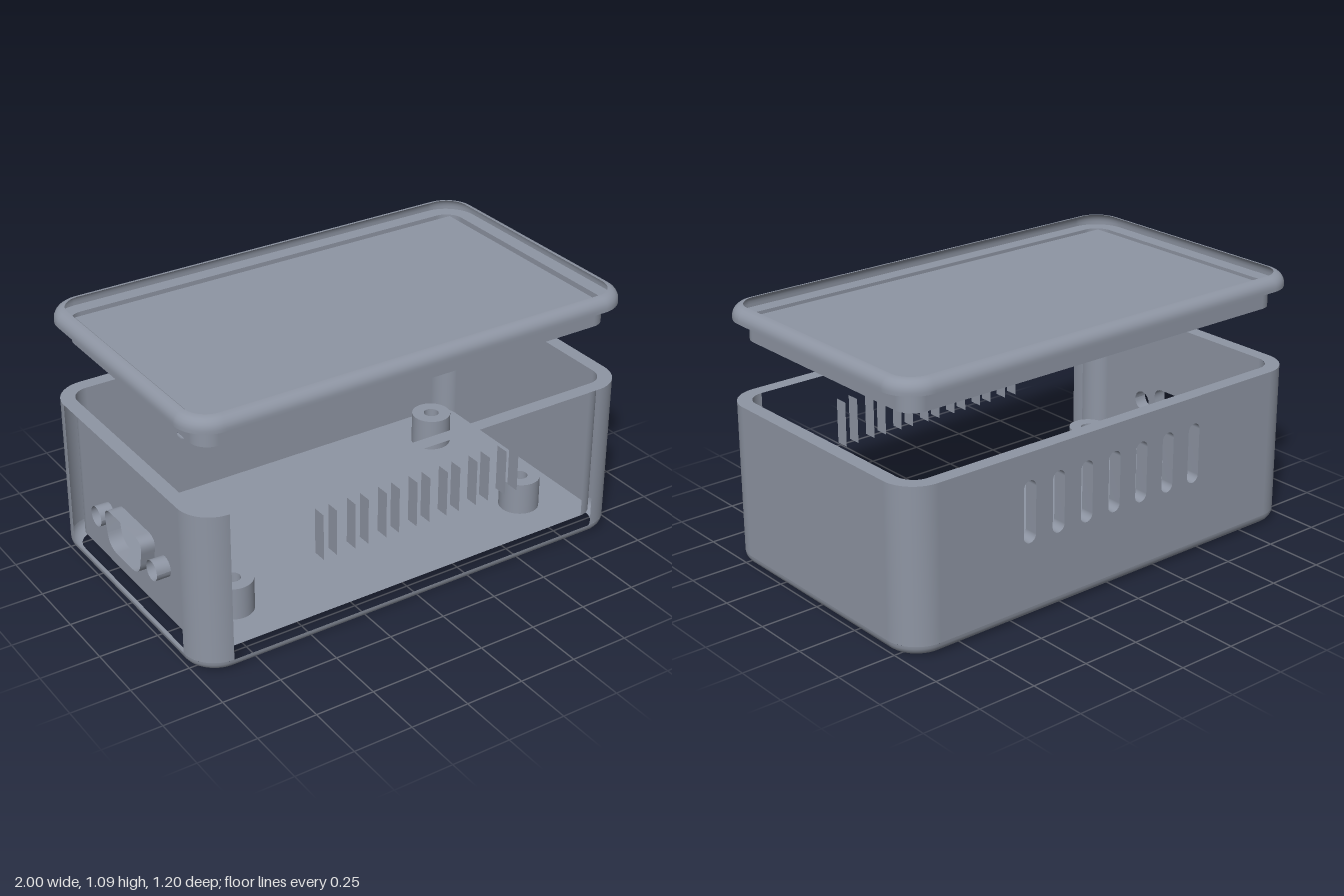
import * as THREE from 'three';

const shell = new THREE.MeshStandardMaterial({ color: 0x8e95a3, side: THREE.DoubleSide });
shell.name = 'slate grey';

// Rounded rectangle, circle, upright slot and connector outlines
function roundedRect(hx, hy, r) {
  const s = new THREE.Shape();
  s.absarc(hx - r, hy - r, r, 0, Math.PI / 2);
  s.absarc(-hx + r, hy - r, r, Math.PI / 2, Math.PI);
  s.absarc(-hx + r, -hy + r, r, Math.PI, Math.PI * 1.5);
  s.absarc(hx - r, -hy + r, r, Math.PI * 1.5, Math.PI * 2);
  s.closePath();
  return s;
}
function rect(x0, y0, x1, y1) {
  return new THREE.Shape([[x0, y0], [x1, y0], [x1, y1], [x0, y1], [x0, y0]].map(p => new THREE.Vector2(...p)));
}
function circle(x, y, r) {
  return new THREE.Path().absarc(x, y, r, 0, Math.PI * 2);
}
function slot(x, y0, y1, r) {
  const p = new THREE.Path();
  p.absarc(x, y1 - r, r, 0, Math.PI);
  p.absarc(x, y0 + r, r, Math.PI, Math.PI * 2);
  p.closePath();
  return p;
}
function roundedPolygon(corners, r) {
  const v = corners.map(c => new THREE.Vector2(...c));
  const p = new THREE.Path();
  v.forEach((c, i) => {
    const toward = q => c.clone().add(q.clone().sub(c).setLength(r));
    const a = toward(v[(i + v.length - 1) % v.length]);
    const b = toward(v[(i + 1) % v.length]);
    if (i === 0) p.moveTo(a.x, a.y); else p.lineTo(a.x, a.y);
    p.quadraticCurveTo(c.x, c.y, b.x, b.y);
  });
  p.closePath();
  return p;
}

// Surface joining a series of rings of equal length
function loft(rings) {
  const n = rings[0].length, index = [];
  for (let k = 0; k < rings.length - 1; k++) {
    for (let i = 0; i < n - 1; i++) {
      const a = k * n + i, b = a + n;
      index.push(a, b, a + 1, a + 1, b, b + 1);
    }
  }
  const g = new THREE.BufferGeometry().setFromPoints(rings.flat());
  g.setIndex(index);
  g.computeVertexNormals();
  return g;
}
const level = (path, y) => path.getPoints(10).map(p => new THREE.Vector3(p.x, y, p.y));
const acrossZ = (path, z) => path.getPoints(10).map(p => new THREE.Vector3(p.x, p.y, z));
const acrossX = (path, x) => path.getPoints(10).map(p => new THREE.Vector3(x, p.y, p.x));

// Flat sheet with holes
function sheet(shape, holes = []) {
  shape.holes.push(...holes);
  return new THREE.ShapeGeometry(shape, 10);
}
const flat = (shape, y, holes) => sheet(shape, holes).rotateX(Math.PI / 2).translate(0, y, 0);

const H = 0.69, FLOOR = 0.06, FILLET = 0.045, R = 0.14;
const slotXs = Array.from({ length: 7 }, (_, i) => (i - 3) * 0.143);

export function createModel() {
  const model = new THREE.Group();
  model.name = 'enclosure';
  const body = new THREE.Group(), lid = new THREE.Group();
  body.name = 'body';
  lid.name = 'lid';
  model.add(body, lid);
  const add = (parent, name, geometry) => {
    const m = new THREE.Mesh(geometry, shell);
    m.name = name;
    parent.add(m);
    return m;
  };

  // Rounded bottom edge
  const bottom = [];
  for (let i = 0; i <= 6; i++) {
    const a = (i / 6) * Math.PI / 2, inset = FILLET * (1 - Math.sin(a));
    bottom.push(level(roundedRect(1 - inset, 0.6 - inset, R - inset), FILLET * (1 - Math.cos(a))));
  }
  add(body, 'bottomEdge', loft(bottom));

  // Vertical corners, outer and inner
  for (let i = 0; i < 4; i++) {
    const sx = i < 2 ? 1 : -1, sz = i === 0 || i === 3 ? 1 : -1;
    for (const [name, r, y0] of [['outerCorner', R, FILLET], ['innerCorner', R - 0.06, FLOOR]]) {
      const g = new THREE.CylinderGeometry(r, r, H - y0, 12, 1, true, i * Math.PI / 2, Math.PI / 2);
      add(body, name, g.translate(sx * 0.86, (H + y0) / 2, sz * 0.46));
    }
  }

  // Back wall with vent slots
  const vents = () => slotXs.map(x => slot(x, 0.318, 0.576, 0.03));
  add(body, 'backOuterWall', sheet(rect(-0.86, FILLET, 0.86, H), vents()).translate(0, 0, -0.6));
  add(body, 'backInnerWall', sheet(rect(-0.86, FLOOR, 0.86, H), vents()).translate(0, 0, -0.54));
  for (const v of vents()) add(body, 'backVent', loft([acrossZ(v, -0.6), acrossZ(v, -0.54)]));

  // Straight cheeks of the front vents
  for (const x of slotXs) {
    for (const side of [-0.03, 0.03]) {
      const g = new THREE.PlaneGeometry(0.06, 0.198).rotateY(Math.PI / 2);
      add(body, 'frontVentCheek', g.translate(x + side, 0.447, 0.57));
    }
  }

  // Solid side wall
  add(body, 'leftOuterWall', sheet(rect(-0.46, FILLET, 0.46, H)).rotateY(-Math.PI / 2).translate(1, 0, 0));
  add(body, 'leftInnerWall', sheet(rect(-0.46, FLOOR, 0.46, H)).rotateY(-Math.PI / 2).translate(0.94, 0, 0));

  // Side wall with connector port and two screw holes
  const ports = [
    roundedPolygon([[-0.125, 0.205], [0.125, 0.205], [0.16, 0.375], [-0.16, 0.375]], 0.06),
    circle(-0.23, 0.29, 0.043), circle(0.23, 0.29, 0.043)];
  add(body, 'portWall', sheet(rect(-0.46, FLOOR, 0.46, H), ports).rotateY(-Math.PI / 2).translate(-0.94, 0, 0));
  for (const p of ports) add(body, 'portSleeve', loft([acrossX(p, -1), acrossX(p, -0.94)]));

  // Rim and floor
  add(body, 'rim', flat(roundedRect(1, 0.6, R), H, [roundedRect(0.94, 0.54, R - 0.06)]));
  const posts = [[0.7, 0.32], [0.7, -0.32], [-0.7, -0.32], [-0.7, 0.32]];
  add(body, 'floor', flat(roundedRect(0.94, 0.54, R - 0.06), FLOOR, posts.map(([x, z]) => circle(x, z, 0.08))));

  // Screw posts, two of them countersunk
  posts.forEach(([x, z], i) => {
    const post = new THREE.Group();
    post.name = 'screwPost';
    post.position.set(x, 0, z);
    body.add(post);
    add(post, 'postWall', new THREE.CylinderGeometry(0.085, 0.085, 0.14, 32, 1, true).translate(0, 0.13, 0));
    add(post, 'postTop', new THREE.RingGeometry(0.033, 0.085, 32).rotateX(-Math.PI / 2).translate(0, 0.2, 0));
    add(post, 'postBore', new THREE.CylinderGeometry(0.033, 0.033, 0.12, 24, 1, true).translate(0, 0.14, 0));
    if (i % 2 === 0) {
      add(post, 'countersink', new THREE.CylinderGeometry(0.033, 0.08, 0.02, 32, 1, true).translate(0, 0.07, 0));
    }
  });

  // Lid edge, rounded at the top
  const LID = 1.033, TOP = 1.09;
  const edge = [level(roundedRect(1, 0.6, R), LID)];
  for (let i = 0; i <= 6; i++) {
    const a = (i / 6) * Math.PI / 2, inset = FILLET * (1 - Math.cos(a));
    edge.push(level(roundedRect(1 - inset, 0.6 - inset, R - inset), TOP - FILLET * (1 - Math.sin(a))));
  }
  add(lid, 'lidEdge', loft(edge));

  // Lid ledge, hollow locating lip and sunken panel
  const LIP = 0.945;
  const lip = () => roundedRect(0.937, 0.537, 0.077);
  const inner = () => rect(-0.905, -0.502, 0.905, 0.502);
  add(lid, 'lidLedge', flat(roundedRect(1, 0.6, R), LID, [lip()]));
  add(lid, 'lipOuterWall', loft([level(lip(), LIP), level(lip(), LID)]));
  add(lid, 'lipBottom', flat(lip(), LIP, [inner()]));
  add(lid, 'lipInnerWall', loft([level(inner(), LIP), level(inner(), LID)]).toNonIndexed()).geometry.computeVertexNormals();
  add(lid, 'lidPanel', flat(inner(), LID));

  return model;
}
